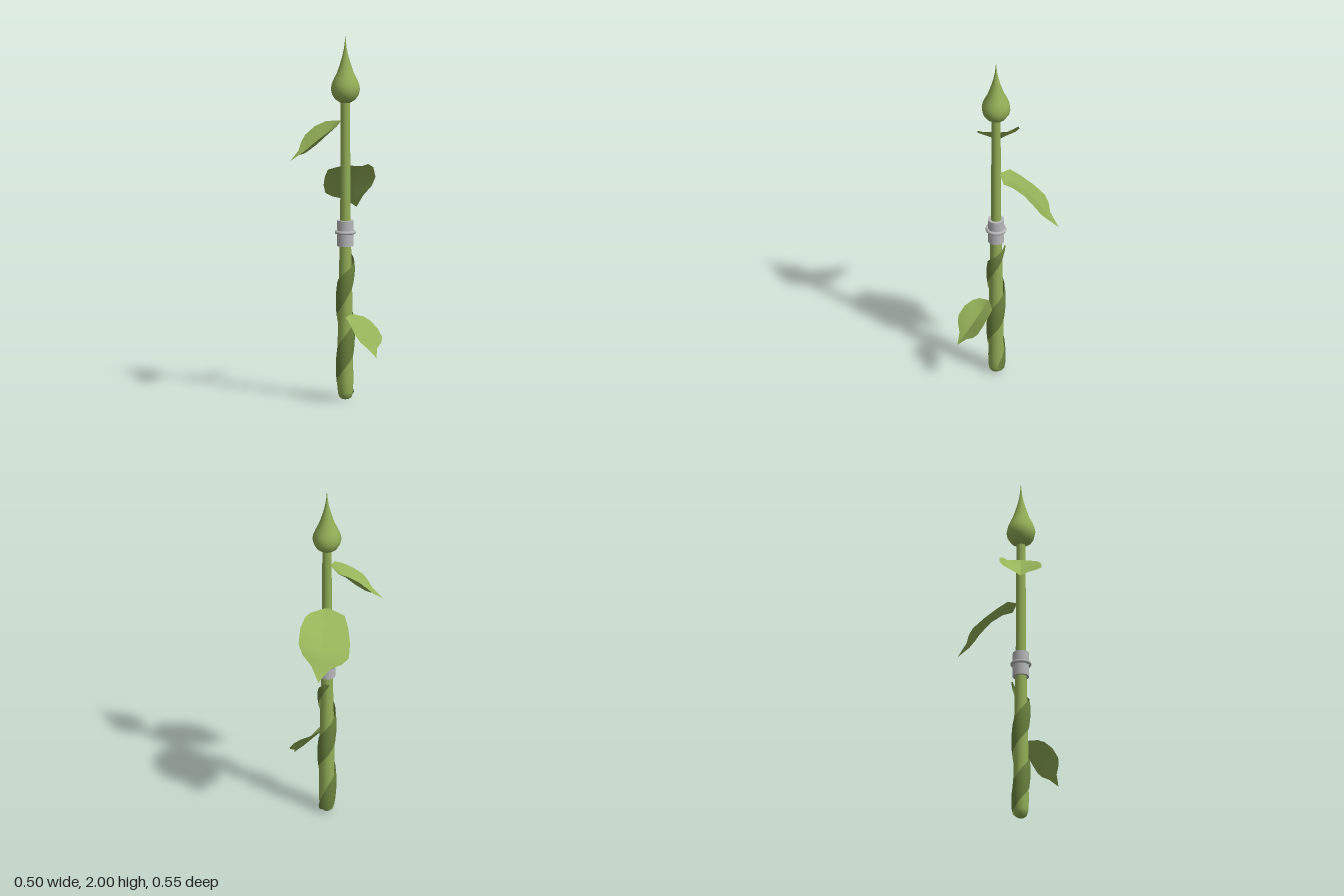
import * as THREE from 'three';

const AX = 0.049, AZ = 0.076; // stem axis

const mat = (name, color, side = THREE.FrontSide) => {
  const m = new THREE.MeshStandardMaterial({ color, side });
  m.name = name;
  return m;
};

// Surface of revolution around the stem axis from [radius, y] pairs
function turned(name, profile, material, segments = 12) {
  const pts = profile.map(([r, y]) => new THREE.Vector2(r, y));
  const mesh = new THREE.Mesh(new THREE.LatheGeometry(pts, segments), material);
  mesh.name = name;
  mesh.position.set(AX, 0, AZ);
  return mesh;
}

// Creased leaf; rows: [fraction along leaf, width factor, lift factor]
const LEAF_ROWS = [[0, 0.1, 0], [0.1, 0.68, 0.2], [0.27, 0.86, 0.7], [0.48, 0.99, 1],
  [0.67, 1, 0.9], [0.75, 0.8, 0.6], [0.82, 0.37, 0.2], [1, 0, 0]];

// side points across the leaf; widths and lifts are given for its two halves,
// arch raises or sinks the midrib
function leaf(name, base, tip, side, widths, lifts, arch, material) {
  const a = new THREE.Vector3(...base), b = new THREE.Vector3(...tip);
  const across = new THREE.Vector3(...side).normalize();
  const pos = [], index = [];
  // Each half has its own midrib vertices so the crease stays sharp
  [-1, 1].forEach((k, half) => {
    const first = pos.length / 3;
    LEAF_ROWS.forEach(([s, w, h], i) => {
      const mid = a.clone().lerp(b, s);
      const edge = mid.clone().addScaledVector(across, k * w * widths[half]);
      mid.y += arch * h;
      edge.y += lifts[half] * h;
      pos.push(...mid, ...edge);
      if (i === LEAF_ROWS.length - 1) return;
      const q = first + i * 2;
      if (k > 0) index.push(q, q + 1, q + 2, q + 1, q + 3, q + 2);
      else index.push(q, q + 2, q + 1, q + 1, q + 2, q + 3);
    });
  });
  const g = new THREE.BufferGeometry();
  g.setAttribute('position', new THREE.Float32BufferAttribute(pos, 3));
  g.setIndex(index);
  g.computeVertexNormals();
  const mesh = new THREE.Mesh(g, material);
  mesh.name = name;
  return mesh;
}

// Tapering leaf ribbon that spirals up the handle
function spiralWrap(material) {
  const N = 60, M = 4, pos = [], index = [];
  const start = -235, end = 545;
  for (let i = 0; i <= N; i++) {
    const t = i / N;
    const deg = start + (end - start) * t;
    const yc = 0.27 + 0.36 * deg / 360;
    const half = 0.074 * Math.min(1, 0.25 + t * 7, 0.06 + (1 - t) * 3.4);
    for (let j = 0; j <= M; j++) {
      const v = j / M * 2 - 1;
      const r = 0.052 - 0.006 * v * v;
      const ang = THREE.MathUtils.degToRad(deg - v * 14);
      pos.push(AX + r * Math.sin(ang), Math.max(0.03, yc + v * half), AZ + r * Math.cos(ang));
    }
  }
  for (let i = 0; i < N; i++) {
    for (let j = 0; j < M; j++) {
      const a = i * (M + 1) + j, b = a + M + 1;
      index.push(a, b, a + 1, b, b + 1, a + 1);
    }
  }
  const g = new THREE.BufferGeometry();
  g.setAttribute('position', new THREE.Float32BufferAttribute(pos, 3));
  g.setIndex(index);
  g.computeVertexNormals();
  const mesh = new THREE.Mesh(g, material);
  mesh.name = 'spiralWrap';
  return mesh;
}

export function createModel() {
  const group = new THREE.Group();
  group.name = 'budStaff';
  const stemGreen = mat('stemGreen', 0x93af57);
  const leafGreen = mat('leafGreen', 0x96b359, THREE.DoubleSide);
  const wrapGreen = mat('wrapGreen', 0x6a823e, THREE.DoubleSide);
  const metal = mat('metal', 0xb8b8ba);

  // Rounded handle and slim upper stem
  group.add(turned('handle', [[0, 0.005], [0.02, 0.008], [0.034, 0.02], [0.041, 0.045],
    [0.043, 0.1], [0.041, 0.4], [0.036, 0.65], [0.031, 0.86]], stemGreen));
  group.add(turned('upperStem', [[0.029, 0.95], [0.027, 1.2], [0.025, 1.66]], stemGreen));

  // Round bud drawn out into a fine point
  group.add(turned('bud', [[0, 1.624], [0.03, 1.63], [0.055, 1.646], [0.072, 1.672], [0.079, 1.702],
    [0.074, 1.732], [0.061, 1.763], [0.047, 1.79], [0.036, 1.82], [0.026, 1.852], [0.015, 1.89],
    [0.007, 1.93], [0.003, 1.965], [0, 2]], stemGreen));

  // Metal collar with a raised ring
  const collar = new THREE.Mesh(new THREE.CylinderGeometry(0.045, 0.045, 0.14, 16), metal);
  collar.name = 'collar';
  collar.position.set(AX, 0.915, AZ);
  const ring = new THREE.Mesh(new THREE.TorusGeometry(0.048, 0.01, 8, 20), metal);
  ring.name = 'collarRing';
  ring.rotation.x = Math.PI / 2;
  ring.position.set(AX, 0.92, AZ);
  group.add(collar, ring);

  group.add(spiralWrap(wrapGreen));

  // Three leaves around the stem
  group.add(leaf('rightLeaf', [0.025, 1.53, 0.08], [-0.25, 1.31, 0.115], [0.035, 0, 0.275],
    [0.115, 0.113], [0.06, 0.02], -0.025, leafGreen));
  group.add(leaf('backLeaf', [0.05, 1.28, 0.05], [0.094, 1.005, -0.278], [-1, 0, 0],
    [0.122, 0.15], [0.1, 0], 0.04, leafGreen));
  group.add(leaf('frontLeaf', [0.085, 0.475, 0.11], [0.225, 0.26, 0.256], [0.156, 0, -0.15],
    [0.09, 0.1], [0.055, 0.03], -0.005, leafGreen));
  return group;
}
